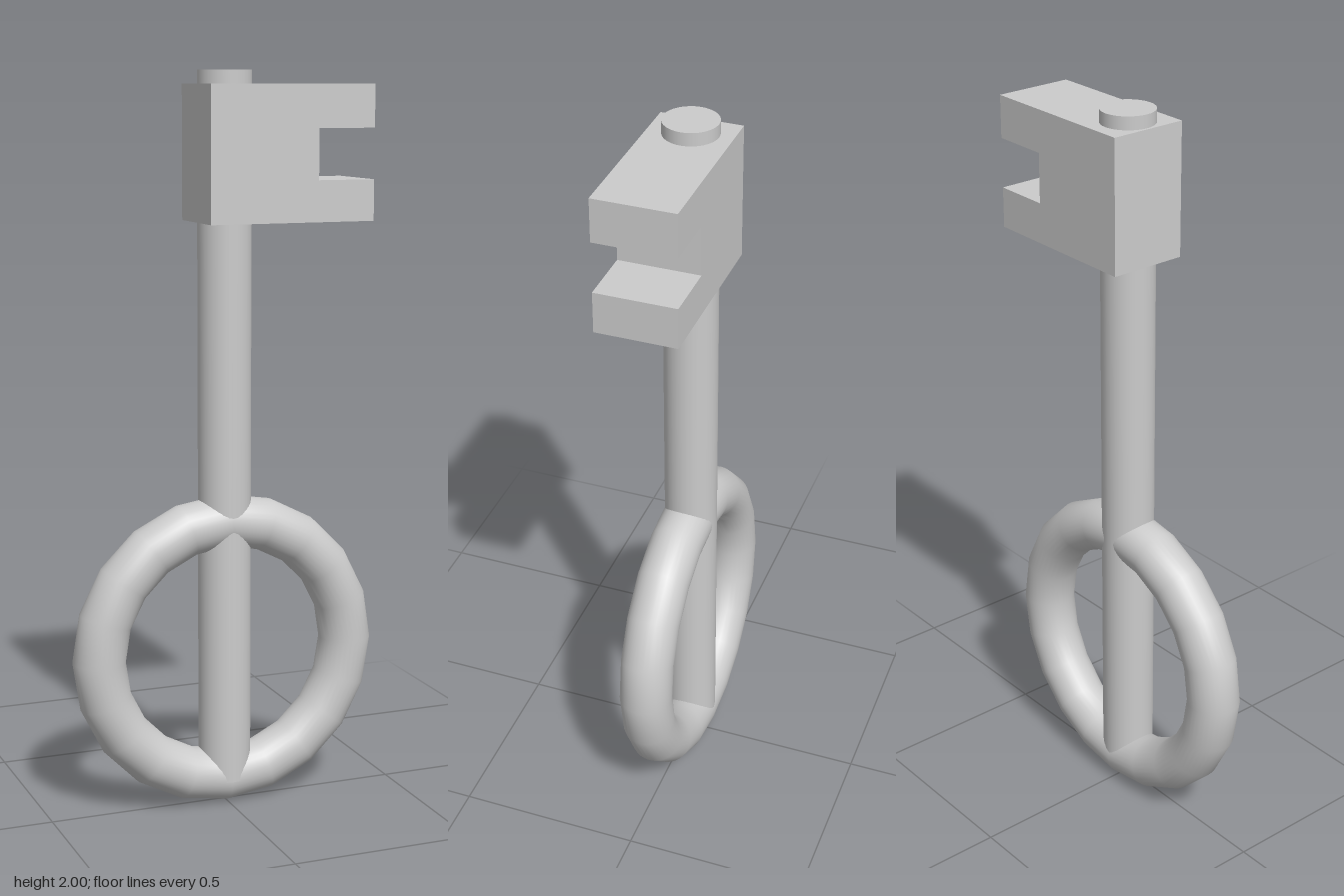
import * as THREE from 'three';

export function createModel() {
  const model = new THREE.Group();
  const material = new THREE.MeshStandardMaterial({ color: 0xcccccc });
  const add = (name, geometry, x, y, z) => {
    const mesh = new THREE.Mesh(geometry, material);
    mesh.name = name;
    mesh.position.set(x, y, z);
    model.add(mesh);
    return mesh;
  };

  // Round handle with a slight forward lean
  const ring = add('handleRing', new THREE.TorusGeometry(0.362, 0.072, 32, 20), 0, 0.434, 0);
  ring.rotation.x = 0.008;

  // Shaft from the bottom of the ring up through the bit
  const bottom = 0.07, top = 2;
  add('shaft', new THREE.CylinderGeometry(0.072, 0.072, top - bottom, 32), 0, (top + bottom) / 2, 0);

  // Notched bit
  const outline = [
    [-0.079, 1.605], [0.385, 1.605], [0.385, 1.715], [0.225, 1.715],
    [0.225, 1.85], [0.385, 1.85], [0.385, 1.965], [-0.079, 1.965],
  ].map(([x, y]) => new THREE.Vector2(x, y));
  const depth = 0.216;
  add('bit', new THREE.ExtrudeGeometry(new THREE.Shape(outline), { depth, bevelEnabled: false }), 0, 0, -depth / 2);

  return model;
}
